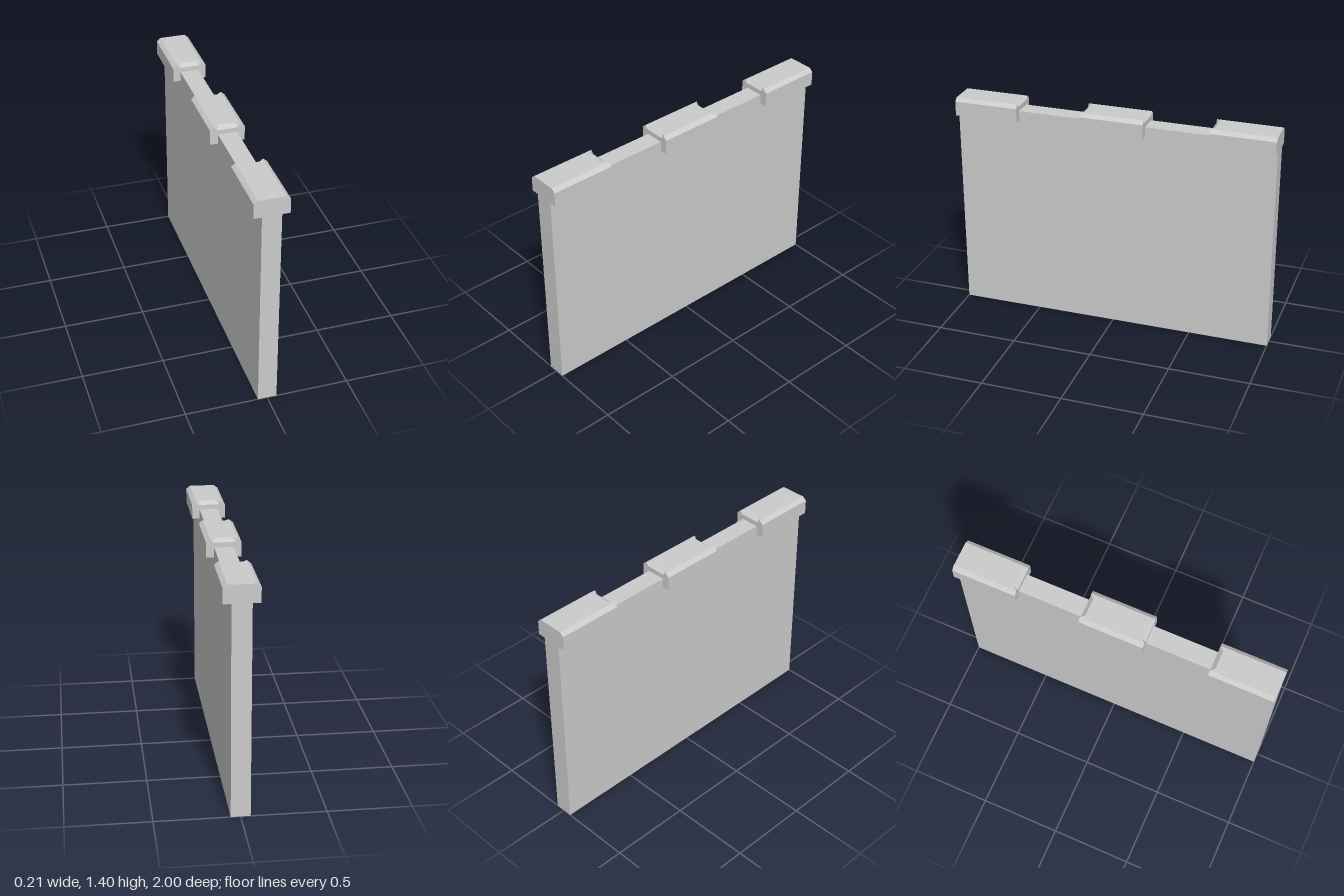
import * as THREE from 'three';

const WALL_HALF = 0.0575, CAP_HALF = 0.105, TOP_HALF = 0.08;
const LEDGE = 1.29, WALL_TOP = 1.35, SHOULDER = 1.38, TOP = 1.4, NOTCH = 0.025;

// Cross-section of a coping block, counter-clockwise seen from +z
function section(notchHalf, notchY) {
  return [
    [-CAP_HALF, LEDGE], [CAP_HALF, LEDGE], [CAP_HALF, SHOULDER], [TOP_HALF, TOP],
    [notchHalf, notchY], [-notchHalf, notchY], [-TOP_HALF, TOP], [-CAP_HALF, SHOULDER],
  ].map(([x, y]) => new THREE.Vector2(x, y));
}

// Coping block lofted along z; its inner ends have a bevelled notch in the top edge
function copingGeometry(z0, z1, notchBack, notchFront) {
  const flat = section(0.055, TOP), cut = section(0.065, SHOULDER);
  const rings = [
    [notchBack ? cut : flat, z0], [flat, z0 + NOTCH],
    [flat, z1 - NOTCH], [notchFront ? cut : flat, z1],
  ];
  const pos = [];
  const put = (...corners) => corners.forEach(([r, j]) => {
    const p = rings[r][0][j % 8];
    pos.push(p.x, p.y, rings[r][1]);
  });
  for (let r = 0; r < 3; r++) {
    for (let j = 0; j < 8; j++) {
      const a = [r, j], b = [r, j + 1], c = [r + 1, j + 1], d = [r + 1, j];
      // the diagonal runs from the outer corner to the inner end of the notch
      if (j === (r === 0 ? 3 : 5)) put(a, b, c, a, c, d);
      else put(a, b, d, b, c, d);
    }
  }
  // End faces
  for (const [i, j, k] of THREE.ShapeUtils.triangulateShape(rings[0][0], [])) put([0, k], [0, j], [0, i]);
  for (const [i, j, k] of THREE.ShapeUtils.triangulateShape(rings[3][0], [])) put([3, i], [3, j], [3, k]);
  const geo = new THREE.BufferGeometry();
  geo.setAttribute('position', new THREE.Float32BufferAttribute(pos, 3));
  geo.computeVertexNormals();
  return geo;
}

// Wall panel: side outline extruded through its thickness, left open underneath
function wallGeometry() {
  const outline = [
    [-1, 0], [1, 0], [1, LEDGE], [0.6, LEDGE], [0.6, WALL_TOP], [0.2, WALL_TOP], [0.2, LEDGE],
    [-0.2, LEDGE], [-0.2, WALL_TOP], [-0.6, WALL_TOP], [-0.6, LEDGE], [-1, LEDGE],
  ].map(([u, y]) => new THREE.Vector2(u, y));
  const solid = new THREE.ExtrudeGeometry(new THREE.Shape(outline), { depth: 2 * WALL_HALF, bevelEnabled: false });
  solid.translate(0, 0, -WALL_HALF).rotateY(Math.PI / 2);
  const flat = solid.index ? solid.toNonIndexed() : solid;
  const src = flat.attributes.position.array, pos = [];
  for (let i = 0; i < src.length; i += 9) {
    const underside = Math.max(src[i + 1], src[i + 4], src[i + 7]) < 0.001;
    if (!underside) pos.push(...src.slice(i, i + 9));
  }
  const geo = new THREE.BufferGeometry();
  geo.setAttribute('position', new THREE.Float32BufferAttribute(pos, 3));
  geo.computeVertexNormals();
  return geo;
}

export function createModel() {
  const group = new THREE.Group();
  group.name = 'crenellatedWall';
  const material = new THREE.MeshStandardMaterial({ color: 0xcccccc, flatShading: true, side: THREE.DoubleSide });
  const add = (name, geo) => {
    const mesh = new THREE.Mesh(geo, material);
    mesh.name = name;
    group.add(mesh);
  };

  add('wall', wallGeometry());
  add('backCoping', copingGeometry(-1, -0.6, false, true));
  add('middleCoping', copingGeometry(-0.2, 0.2, true, true));
  add('frontCoping', copingGeometry(0.6, 1, true, false));
  return group;
}
